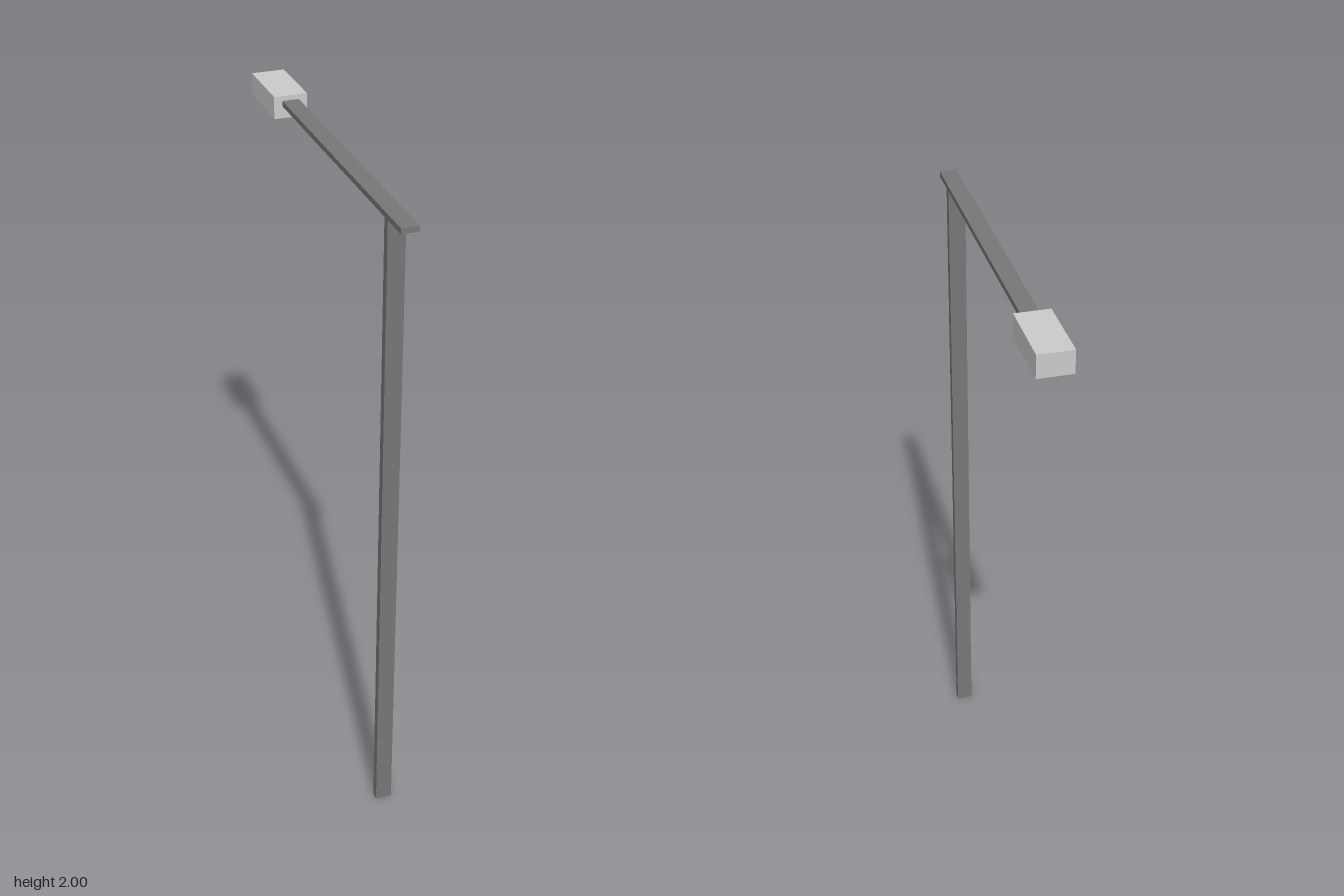
import * as THREE from 'three';

const darkMetal = new THREE.MeshStandardMaterial({ color: 0x777777 });
const greyShell = new THREE.MeshStandardMaterial({ color: 0xcccccc, side: THREE.DoubleSide });

// Box given by its minimum and maximum corners
function block(name, [x0, y0, z0], [x1, y1, z1], material) {
  const mesh = new THREE.Mesh(new THREE.BoxGeometry(x1 - x0, y1 - y0, z1 - z0), material);
  mesh.position.set((x0 + x1) / 2, (y0 + y1) / 2, (z0 + z1) / 2);
  mesh.name = name;
  return mesh;
}

// Thin box shell without its underside
function openBottom(mesh) {
  const g = mesh.geometry;
  const index = Array.from(g.index.array);
  index.splice(18, 6); // the -y face
  g.setIndex(index);
  g.clearGroups();
  return mesh;
}

export function createModel() {
  const model = new THREE.Group();
  model.name = 'streetLight';

  // Flat upright post
  model.add(block('post', [-0.025, 0, 0.46], [0.025, 1.969, 0.483], darkMetal));

  // Horizontal arm resting on the post and reaching into the lamp head
  model.add(block('arm', [-0.025, 1.969, -0.51], [0.025, 1.985, 0.57], darkMetal));

  // Lamp hood, open underneath
  model.add(openBottom(block('lampHood', [-0.05, 1.933, -0.57], [0.05, 2, -0.356], greyShell)));

  return model;
}
